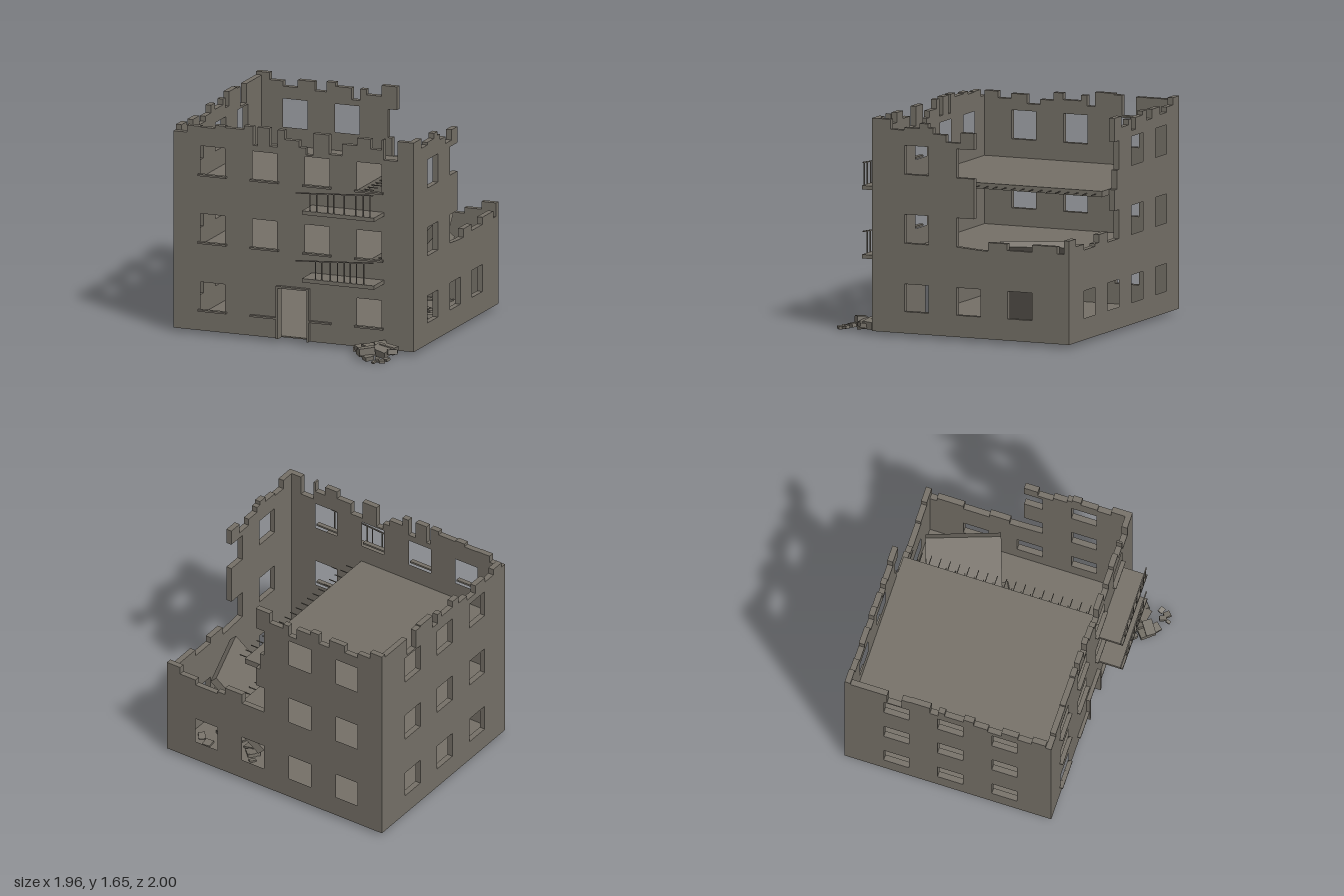
import * as THREE from 'three';

const T = 0.045, BASE = 0.035;
const ROWS = [[0.2, 0.41], [0.72, 0.94], [1.245, 1.465]];
const COLS_X = [-0.76, -0.335, 0.095, 0.52], COLS_Z = [0.165, -0.265, -0.69], WIN = 0.2;

function makeRandom(seed) {
  return () => (seed = (seed * 16807) % 2147483647) / 2147483647;
}

export function createModel() {
  const model = new THREE.Group();
  const concrete = new THREE.MeshStandardMaterial({ color: 0x757067 });
  concrete.name = 'weathered concrete';

  const add = (name, geo, parent = model) => {
    const mesh = new THREE.Mesh(geo, concrete);
    mesh.name = name;
    parent.add(mesh);
    return mesh;
  };
  // box given by its min and max corners
  const block = (name, x0, x1, y0, y1, z0, z1, parent) =>
    add(name, new THREE.BoxGeometry(x1 - x0, y1 - y0, z1 - z0), parent)
      .position.set((x0 + x1) / 2, (y0 + y1) / 2, (z0 + z1) / 2);

  // stepped broken top: [end, height] pairs from a start position
  const steps = (start, list) => {
    const pts = [];
    let u = start;
    for (const [end, h] of list) {
      pts.push([u, h], [end, h]);
      u = end;
    }
    return pts;
  };
  // wall slab with window holes given as [u, row]
  const wall = (points, windows) => {
    const shape = new THREE.Shape(points.map(p => new THREE.Vector2(...p)));
    for (const [u, r] of windows) {
      const [a, b] = ROWS[r];
      shape.holes.push(new THREE.Path([[u, a], [u, b], [u + WIN, b], [u + WIN, a]].map(p => new THREE.Vector2(...p))));
    }
    return new THREE.ExtrudeGeometry(shape, { depth: T, bevelEnabled: false });
  };
  const grid = (cols, rows) => cols.flatMap(c => rows.map(r => [c, r]));

  // front wall with doorway
  const frontTop = steps(-0.98, [[-0.87, 1.56], [-0.76, 1.615], [-0.64, 1.61], [-0.56, 1.635], [-0.405, 1.625],
    [-0.33, 1.655], [-0.295, 1.51], [-0.195, 1.655], [-0.13, 1.515], [-0.075, 1.65], [0.045, 1.58], [0.1, 1.53],
    [0.16, 1.478], [0.29, 1.65], [0.395, 1.5], [0.52, 1.59], [0.63, 1.65], [0.72, 1.575], [0.735, 1.655],
    [0.85, 1.5], [0.98, 1.655]]);
  add('frontWall', wall([[-0.98, BASE], ...frontTop, [0.98, BASE], [0.118, BASE], [0.118, 0.43], [-0.118, 0.43], [-0.118, BASE]],
    [...grid(COLS_X, [1, 2]), [COLS_X[0], 0], [COLS_X[3], 0]])).position.z = 0.635 - T;

  // back wall, collapsed towards +x
  const backTop = steps(-0.98, [[-0.87, 1.655], [-0.76, 1.6], [-0.64, 1.56], [-0.5, 1.62], [-0.405, 1.55],
    [-0.33, 1.63], [-0.2, 1.6], [-0.13, 1.51], [-0.08, 1.6], [0.045, 1.56], [0.17, 1.645]]);
  const backBreak = [[0.17, 1.465], [0.095, 1.465], [0.095, 1.245], [0.13, 1.245], [0.13, 1.1], [0.17, 1.1], [0.17, 0.94],
    [0.095, 0.94], ...steps(0.095, [[0.295, 0.72], [0.45, 0.8], [0.52, 0.74], [0.72, 0.72], [0.86, 0.765], [0.98, 0.825]])];
  add('backWall', wall([[-0.98, BASE], ...backTop, ...backBreak, [0.98, BASE]],
    [...grid(COLS_X, [0]), ...grid(COLS_X.slice(0, 2), [1, 2])])).position.z = -1;

  // side walls, drawn in (z, y)
  const side = (name, geo, x) => add(name, geo.rotateY(-Math.PI / 2)).position.x = x;
  const rightTop = steps(0.59, [[0.48, 1.655], [0.37, 1.58], [0.24, 1.6], [0.17, 1.64], [0.13, 1.61], [0.02, 1.565],
    [-0.1, 1.51], [-0.21, 1.59]]);
  const rightBreak = [[-0.21, 1.465], [-0.065, 1.465], [-0.065, 1.245], [-0.21, 1.245], [-0.21, 0.94], [-0.065, 0.94],
    [-0.065, 0.72], ...steps(-0.265, [[-0.325, 0.705], [-0.485, 0.77], [-0.69, 0.72], [-0.9, 0.775], [-0.955, 0.72]])];
  side('brokenSideWall', wall([[0.59, BASE], ...rightTop, ...rightBreak, [-0.955, BASE]],
    [...grid(COLS_Z, [0]), [COLS_Z[0], 1], [COLS_Z[0], 2]]), 0.98);
  const leftTop = steps(0.59, [[0.48, 1.6], [0.37, 1.55], [0.24, 1.59], [0.13, 1.52], [0.02, 1.56], [-0.06, 1.62],
    [-0.21, 1.57], [-0.26, 1.615], [-0.325, 1.535], [-0.485, 1.645], [-0.55, 1.635], [-0.665, 1.48], [-0.955, 1.63]]);
  side('intactSideWall', wall([[0.59, BASE], ...leftTop, [-0.955, BASE]], grid(COLS_Z, [0, 1, 2])), -0.98 + T);

  // floors with exposed reinforcing bars along the torn edge
  block('groundFloor', -0.935, 0.935, BASE, 0.045, -0.955, 0.59);
  for (const [y, edge] of [[0.54, 0.42], [1.06, 0.3]]) {
    block('floorSlab', -0.935, edge, y, y + 0.045, -0.955, 0.59);
    for (let i = 0; i < 20; i++) {
      const z = -0.905 + i * 0.0742;
      block('reinforcingBar', edge - 0.02, edge + 0.08, y + 0.018, y + 0.024, z - 0.003, z + 0.003);
    }
  }

  // window sills
  for (const y of [0.185, 0.71, 1.235]) {
    for (const x of COLS_X) {
      let x0 = x - 0.015, x1 = x + WIN + 0.015;
      if (y < 0.2 && x === COLS_X[1]) x1 = -0.13;
      if (y < 0.2 && x === COLS_X[2]) x0 = 0.13;
      block('windowSill', x0, x1, y, y + 0.014, 0.625, 0.66);
    }
  }

  // door frame
  for (const s of [-1, 1]) block('doorJamb', s * 0.125 - 0.008, s * 0.125 + 0.008, BASE, 0.445, 0.6, 0.665);
  block('doorLintel', -0.133, 0.133, 0.43, 0.445, 0.6, 0.665);

  // balconies with bent railings
  const posts = [[0.26, 0.31, 0.38, 0.44, 0.495, 0.545, 0.595, 0.655], [0.215, 0.27, 0.36, 0.41, 0.495, 0.59, 0.65, 0.705]];
  [0.54, 1.065].forEach((y, i) => {
    const balcony = new THREE.Group();
    balcony.name = 'balcony';
    model.add(balcony);
    block('balconySlab', 0.15, 0.738, y, y + 0.03, 0.62, 0.83, balcony);
    const railY = x => y + 0.162 + (x - 0.1) * 0.066;
    for (const x of posts[i]) block('railingPost', x - 0.004, x + 0.004, y + 0.02, railY(x), 0.822, 0.83, balcony);
    const rail = add('handrail', new THREE.BoxGeometry(0.632, 0.009, 0.009), balcony);
    rail.position.set(0.415, railY(0.415), 0.826);
    rail.rotation.z = 0.066;
  });

  // fallen floor slabs leaning inside the collapsed corner
  const fallen = new THREE.Group();
  fallen.name = 'fallenSlabs';
  fallen.position.set(0.705, 0.76, -0.615);
  fallen.rotation.set(0, 0.34, 0.855, 'YZX');
  model.add(fallen);
  block('fallenSlab', -0.64, 0, -0.06, 0, -0.285, 0.285, fallen);
  block('fallenSlab', -0.7, -0.12, -0.18, -0.12, -0.27, 0.27, fallen);

  // rubble: [x, y, z, size]
  const random = makeRandom(41);
  const chunk = (x, y, z, s) => {
    const mesh = add('rubbleChunk', new THREE.BoxGeometry(s, s * 0.45, s * (0.6 + 0.4 * random())));
    mesh.position.set(x, y, z);
    mesh.rotation.set((random() - 0.5) * 0.5, random() * Math.PI, (random() - 0.5) * 0.5);
  };
  const pile = [[0.81, 0.065, 0.72, 0.13], [0.78, 0.06, 0.77, 0.12], [0.85, 0.055, 0.76, 0.08], [0.69, 0.07, 0.86, 0.12],
    [0.65, 0.045, 0.84, 0.09], [0.72, 0.045, 0.79, 0.1], [0.6, 0.05, 0.74, 0.09], [0.66, 0.06, 0.72, 0.11],
    [0.74, 0.08, 0.7, 0.09], [0.55, 0.035, 0.7, 0.07], [0.81, 0.03, 0.93, 0.055], [0.87, 0.03, 0.9, 0.045],
    [0.8, 0.02, 0.975, 0.035], [0.85, 0.025, 0.95, 0.05], [0.72, 0.03, 0.9, 0.07]];
  pile.forEach(p => chunk(...p));
  const inner = [[0.46, -0.86], [0.61, -0.89], [0.75, -0.79], [0.84, -0.74], [0.82, -0.48], [0.67, -0.28]];
  inner.forEach(([x, z]) => chunk(x, 0.045, z, 0.07));
  for (let i = 0; i < 16; i++) chunk(0.33 + random() * 0.42, 0.045, -0.8 + random() * 0.5, 0.05 + random() * 0.06);

  return model;
}
